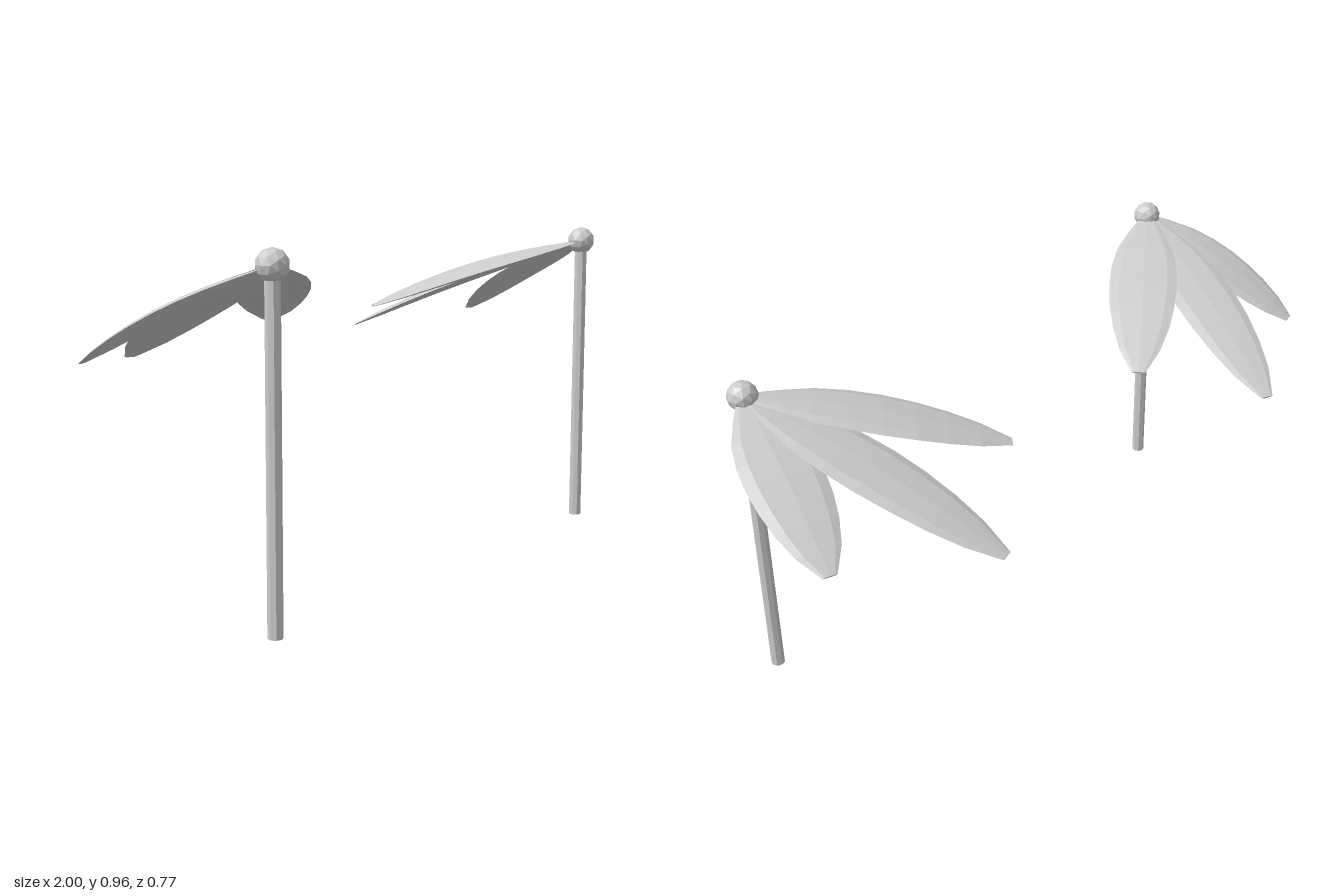
import * as THREE from 'three';

const material = new THREE.MeshStandardMaterial({ color: 0xcccccc, flatShading: true });

// half width of a leaf at evenly spaced steps from base to tip
const widths = [0.015, 0.055, 0.088, 0.103, 0.106, 0.1, 0.086, 0.062, 0.02];

// Thin lens-shaped leaf running along +z, arched slightly upwards
function leafGeometry(length) {
  const steps = widths.length - 1;
  const g = new THREE.CylinderGeometry(1, 1, 1, 8, steps).rotateX(Math.PI / 2);
  const p = g.attributes.position;
  for (let i = 0; i < p.count; i++) {
    const t = p.getZ(i) + 0.5;
    const w = widths[Math.round(t * steps)];
    const arch = 0.016 * Math.sin(Math.PI * t);
    p.setXYZ(i, p.getX(i) * w, p.getY(i) * w * 0.13 + arch, t * length);
  }
  g.computeVertexNormals();
  return g;
}

function part(name, geometry, x, y, z) {
  const mesh = new THREE.Mesh(geometry, material);
  mesh.name = name;
  mesh.position.set(x, y, z);
  return mesh;
}

// Leaf tips on the left tree
const leaves = [
  ['innerLeaf', [0.265, 0.718, -0.11]],
  ['middleLeaf', [0.553, 0.62, -0.378]],
  ['outerLeaf', [0.952, 0.66, -0.162]],
];

function tree(name, side) {
  const group = new THREE.Group();
  group.name = name;
  const x = 0.815 * side, z = 0.338;

  // Post and the ball on its top
  group.add(part('post', new THREE.CylinderGeometry(0.02, 0.02, 0.9, 8), x, 0.45, z));
  group.add(part('ball', new THREE.IcosahedronGeometry(0.043, 1), x, 0.915, z));

  // Drooping leaves fanning out from the ball
  const base = new THREE.Vector3(x, 0.913, z);
  for (const [leafName, [tx, ty, tz]] of leaves) {
    const tip = new THREE.Vector3(tx * side, ty, tz);
    const leaf = part(leafName, leafGeometry(base.distanceTo(tip)), x, base.y, z);
    leaf.lookAt(tip);
    group.add(leaf);
  }
  return group;
}

export function createModel() {
  const model = new THREE.Group();
  model.name = 'leafPosts';
  model.add(tree('leftTree', 1), tree('rightTree', -1));
  return model;
}
